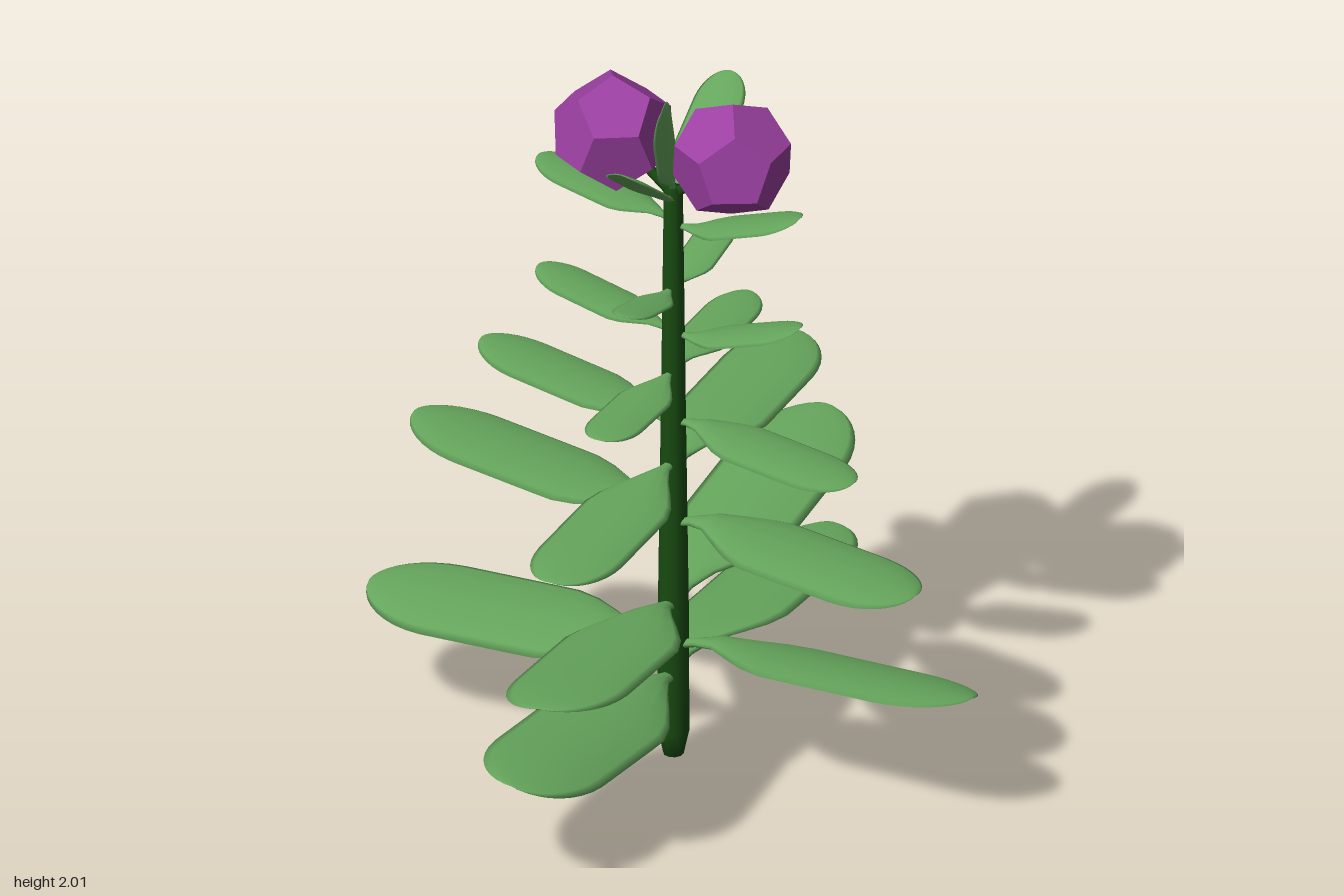
import * as THREE from 'three';

const leafMat = new THREE.MeshStandardMaterial({ color: 0x65a55c });
const stemMat = new THREE.MeshStandardMaterial({ color: 0x184a10 });
const flowerMat = new THREE.MeshStandardMaterial({ color: 0x9c40a2, flatShading: true });
const V = (x, y, z) => new THREE.Vector3(x, y, z);

// Leaf blade: thin lens-shaped sections swept from base to tip, with drooping edges
function leafGeometry(base, tip, width, hump, roll, up) {
  const rows = 20, sides = 12, pos = [], idx = [];
  const d = tip.clone().sub(base), length = d.length();
  d.normalize();
  const n = up.clone().addScaledVector(d, -up.dot(d)).normalize().applyAxisAngle(d, roll);
  const side = n.clone().cross(d);
  for (let i = 0; i <= rows; i++) {
    const u = Math.sin((i / rows) * Math.PI / 2);
    const end = u > 0.75 ? Math.sqrt(Math.max(0, 1 - ((u - 0.75) / 0.25) ** 2)) : 1;
    const half = width / 2 * (0.08 + 0.92 * THREE.MathUtils.smoothstep(u, 0.02, 0.4)) * end;
    const thick = (0.003 + 0.03 * width) * end;
    const lift = hump * Math.min(u / 0.15, 1) * (1 - u) / 0.85;
    for (let j = 0; j < sides; j++) {
      const a = j / sides * Math.PI * 2, c = Math.cos(a);
      const p = base.clone().addScaledVector(d, u * length)
        .addScaledVector(side, c * half)
        .addScaledVector(n, lift + Math.sin(a) * thick - 0.12 * half * c * c);
      pos.push(p.x, p.y, p.z);
      if (i < rows) {
        const k = i * sides + j, l = i * sides + (j + 1) % sides;
        idx.push(k, l, l + sides, k, l + sides, k + sides);
      }
    }
  }
  const g = new THREE.BufferGeometry();
  g.setAttribute('position', new THREE.Float32BufferAttribute(pos, 3));
  g.setIndex(idx);
  g.computeVertexNormals();
  return g;
}

export function createModel() {
  const model = new THREE.Group();
  const add = (name, geo, mat) => {
    const m = new THREE.Mesh(geo, mat);
    m.name = name;
    model.add(m);
    return m;
  };
  const leaf = (name, base, tip, width, hump = 0.035, roll = 0, up = V(0, 1, 0)) =>
    add(name, leafGeometry(base, tip, width, hump, roll, up), leafMat);

  // Stem
  const profile = [[0, 0], [0.027, 0], [0.042, 0.07], [0.041, 0.4], [0.033, 1.0], [0.025, 1.67], [0, 1.68]];
  add('stem', new THREE.LatheGeometry(profile.map(p => new THREE.Vector2(...p)), 10), stemMat)
    .position.x = -0.018;

  // Stem leaves: base height, tip x, y, z, width, hump, roll
  const rows = {
    leftLeaf: [
      [0.32, 0.87, 0.4, 0.04, 0.31, 0.03, -0.22],
      [0.68, 0.72, 0.68, 0.07, 0.28, 0.04, 0],
      [0.98, 0.53, 0.955, 0.05, 0.2, 0.02, 0],
      [1.24, 0.35, 1.345, 0, 0.15, -0.012, 0],
      [1.56, 0.35, 1.67, 0, 0.15, -0.012, 0]],
    rightLeaf: [
      [0.34, -0.87, 0.33, 0.06, 0.31, -0.015, -0.15],
      [0.68, -0.77, 0.825, 0, 0.27, 0.03, 0],
      [0.97, -0.58, 1.085, -0.01, 0.2, 0.015, 0],
      [1.24, -0.42, 1.335, -0.02, 0.15, 0.01, 0],
      [1.57, -0.42, 1.66, -0.02, 0.15, 0.01, 0]],
    frontLeaf: [
      [0.23, -0.03, 0.345, 0.91, 0.32, 0.025, -0.18],
      [0.44, 0.04, 0.58, 0.89, 0.32, 0.025, 0.08],
      [0.86, -0.02, 0.845, 0.7, 0.24, 0.01, 0],
      [1.13, -0.02, 1.135, 0.43, 0.15, 0, 0],
      [1.38, -0.02, 1.43, 0.29, 0.11, -0.01, 0]],
    backLeaf: [
      [0.25, -0.02, 0.24, -0.9, 0.32, 0.025, -0.18],
      [0.44, -0.02, 0.6, -0.88, 0.32, 0.02, 0],
      [0.84, -0.02, 0.895, -0.72, 0.26, 0.02, 0],
      [1.13, -0.02, 1.15, -0.44, 0.15, 0.01, 0],
      [1.38, -0.02, 1.43, -0.3, 0.11, -0.01, 0]],
  };
  for (const [name, list] of Object.entries(rows))
    list.forEach(([y, tx, ty, tz, w, hump, roll], i) =>
      leaf(name + (i + 1), V(-0.018, y, 0), V(tx, ty, tz), w, hump, roll));

  // Crown leaves around the flowers
  leaf('crownFrontLeaf', V(-0.018, 1.64, 0), V(-0.018, 1.86, 0.31), 0.13, -0.01);
  leaf('crownBackLeaf', V(-0.018, 1.64, 0), V(-0.018, 1.855, -0.33), 0.14, -0.01);
  leaf('crownUprightLeaf', V(-0.018, 1.66, 0), V(0.04, 2.0, 0.18), 0.13, 0, 0, V(1, 0.15, 0));

  // Two flower heads on short stalks
  for (const s of [1, -1]) {
    const name = s > 0 ? 'left' : 'right';
    const centre = V(-0.025 + s * 0.172, 1.79, -0.01);
    const flower = add(name + 'Flower', new THREE.DodecahedronGeometry(0.162), flowerMat);
    flower.position.copy(centre);
    flower.rotation.z = s * 0.35;
    const stalk = new THREE.LineCurve3(V(-0.018, 1.65, 0), centre);
    add(name + 'FlowerStalk', new THREE.TubeGeometry(stalk, 1, 0.014, 6), stemMat);
  }
  return model;
}
